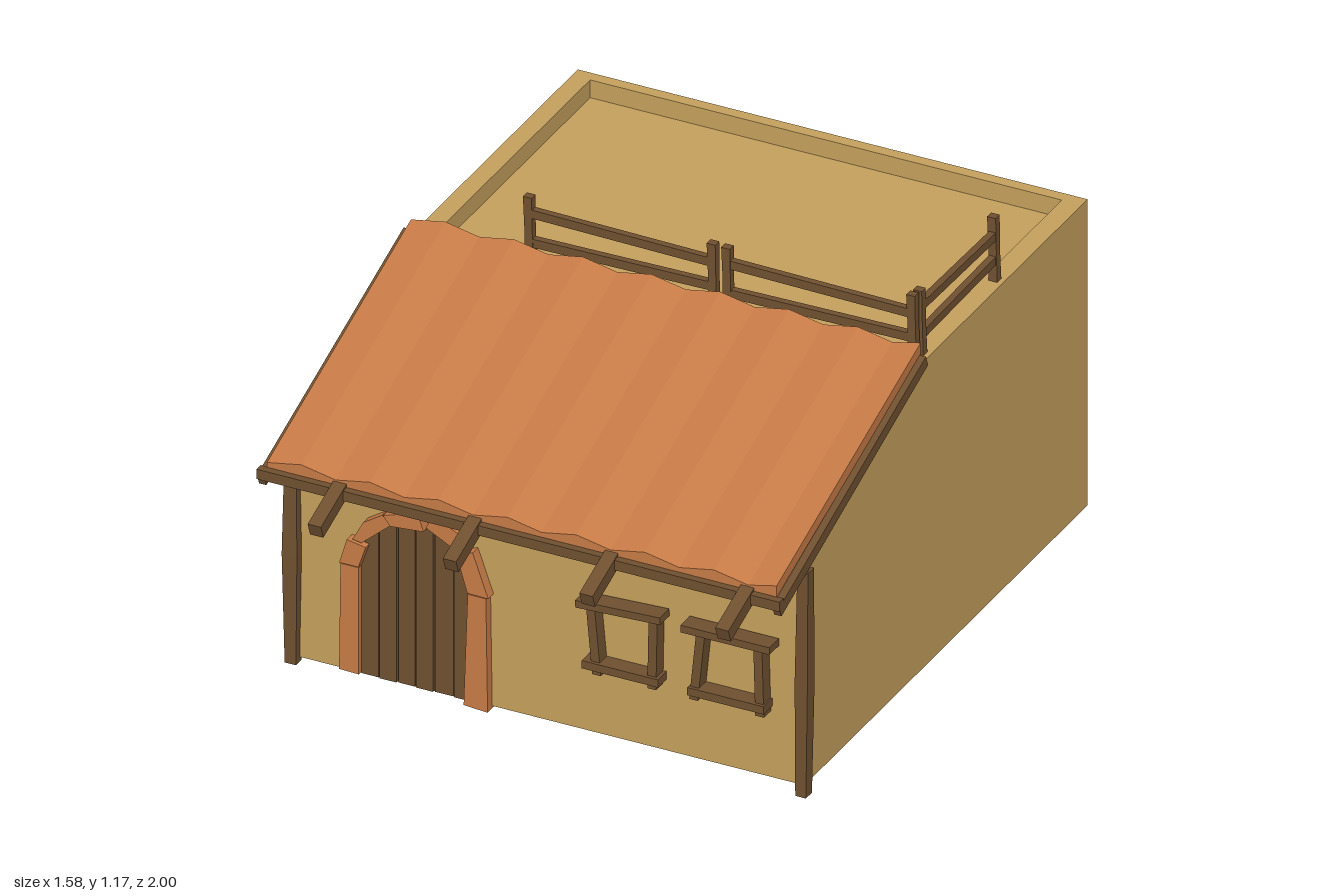
import * as THREE from 'three';

const mat = (color) => new THREE.MeshStandardMaterial({ color, flatShading: true, side: THREE.DoubleSide });
const PLASTER = mat(0xc49f5c), CLAY = mat(0xc67a46), WOOD = mat(0x6f5030);

const SLOPE = 0.365;                       // fall of the pitched roof per unit z
const L = -0.77, R = 0.765, BACK = -1, FRONT = 0.68, BASE = 0.025, TOP = 0.975;
const roofY = (z) => TOP - SLOPE * z;

export function createModel() {
  const house = new THREE.Group();
  house.name = 'house';

  const add = (name, geometry, material, parent = house) => {
    const mesh = new THREE.Mesh(geometry, material);
    mesh.name = name;
    parent.add(mesh);
    return mesh;
  };
  const group = (name) => {
    const g = new THREE.Group();
    g.name = name;
    house.add(g);
    return g;
  };

  // Flat convex panel from 3D corners
  const panel = (name, corners, material) => {
    const geo = new THREE.BufferGeometry();
    geo.setAttribute('position', new THREE.Float32BufferAttribute(corners.flat(), 3));
    const index = [];
    for (let i = 1; i < corners.length - 1; i++) index.push(0, i, i + 1);
    geo.setIndex(index);
    geo.computeVertexNormals();
    return add(name, geo, material);
  };

  // Straight bar between two points
  const bar = (name, a, b, w, h, material, parent) => {
    const p = new THREE.Vector3(...a), q = new THREE.Vector3(...b);
    const mesh = add(name, new THREE.BoxGeometry(w, h, p.distanceTo(q)), material, parent);
    mesh.position.copy(p).add(q).multiplyScalar(0.5);
    mesh.lookAt(q);
    return mesh;
  };

  // Upright post, rough hewn: thicker in the middle by bulge, top shifted by lean
  const post = (name, x, z, y0, y1, w, d, parent, bulge = 1, lean = 0) => {
    const geo = new THREE.BoxGeometry(w, y1 - y0, d, 1, 2, 1);
    const p = geo.attributes.position;
    for (let i = 0; i < p.count; i++) {
      const t = p.getY(i) / (y1 - y0);
      const s = Math.abs(t) < 0.1 ? bulge : 1;
      p.setX(i, p.getX(i) * s + lean * t);
      p.setZ(i, p.getZ(i) * s);
    }
    geo.computeVertexNormals();
    add(name, geo, WOOD, parent).position.set(x, (y0 + y1) / 2, z);
  };

  // Polygon in x, y pushed forward from z0 by depth
  const slab = (name, pts, z0, depth, material, parent) => {
    const shape = new THREE.Shape(pts.map(([x, y]) => new THREE.Vector2(x, y)));
    const geo = new THREE.ExtrudeGeometry(shape, { depth, bevelEnabled: false });
    geo.translate(0, 0, z0);
    return add(name, geo, material, parent);
  };

  // Shell: floor, front and side walls; the back stays open
  const eave = roofY(FRONT);
  panel('floor', [[L, BASE, FRONT], [R, BASE, FRONT], [R, BASE, BACK], [L, BASE, BACK]], CLAY);
  panel('frontWall', [[L, BASE, FRONT], [R, BASE, FRONT], [R, eave, FRONT], [L, eave, FRONT]], PLASTER);
  panel('leftWall', [[R, BASE, FRONT], [R, BASE, BACK], [R, TOP, BACK], [R, TOP, 0], [R, eave, FRONT]], PLASTER);
  panel('rightWallFront', [[L, BASE, 0], [L, BASE, FRONT], [L, eave, FRONT], [L, TOP, 0]], PLASTER);
  panel('rightWallBack', [[L, BASE, BACK], [L, BASE, 0], [L, TOP, 0], [L, TOP, BACK]], CLAY);

  // Flat roof sunk inside a rim
  const deck = TOP - 0.055;
  const outer = [[L, 0], [R, 0], [R, BACK], [L, BACK]];
  const inner = [[-0.715, -0.06], [0.705, -0.06], [0.705, -0.965], [-0.715, -0.965]];
  const at = ([x, z], y) => [x, y, z];
  panel('flatRoof', inner.map((c) => at(c, deck)), PLASTER);
  for (let i = 0; i < 4; i++) {
    const j = (i + 1) % 4;
    panel('roofRim', [at(outer[i], TOP), at(outer[j], TOP), at(inner[j], TOP), at(inner[i], TOP)], PLASTER);
    panel('rimInside', [at(inner[i], TOP), at(inner[j], TOP), at(inner[j], deck), at(inner[i], deck)], PLASTER);
  }

  // Pitched tile roof: zigzag section extruded forward, then sheared down the slope
  const upper = [];
  for (let i = 0; i <= 15; i++) {
    const x = Math.min(L + i * 0.1035, R);
    upper.push([x, i % 2 ? 1.038 : 1.018]);
  }
  const lower = upper.map(([x, y]) => [x, y - 0.036]).reverse();
  const tiles = slab('tileRoof', [...upper, ...lower], -0.01, 0.855, CLAY);
  const tp = tiles.geometry.attributes.position;
  for (let i = 0; i < tp.count; i++) tp.setY(i, tp.getY(i) - SLOPE * tp.getZ(i));
  tiles.geometry.computeVertexNormals();

  // Roof edge timbers
  const trim = group('roofTrim');
  for (const [x, lift] of [[L - 0.008, 0], [R + 0.008, 0.012]]) {
    bar('slopeTrim', [x, roofY(-0.01) + lift, -0.01], [x, roofY(0.86), 0.86], 0.022, 0.035, WOOD, trim);
  }
  bar('eaveBeam', [-0.79, 0.68, 0.855], [0.785, 0.68, 0.855], 0.025, 0.03, WOOD, trim);

  // Rafter ends poking out under the eave
  const rafters = group('rafters');
  for (const x of [-0.55, -0.143, 0.268, 0.677]) {
    bar('rafter', [x, 0.772, 0.6], [x, 0.63, 0.99], 0.04, 0.042, WOOD, rafters);
  }

  // Corner posts
  post('cornerPostRight', -0.772, 0.685, 0.01, 0.69, 0.034, 0.034, house, 1.35);
  post('cornerPostLeft', 0.768, 0.685, 0, 0.7, 0.032, 0.036, house, 1.2, 0.006);

  // Door: planks cut to an arch
  const door = group('door');
  const edges = [-0.565, -0.51, -0.455, -0.4, -0.345, -0.285, -0.23];
  const archY = (x) => 0.38 + 0.155 * Math.sqrt(Math.max(0, 1 - ((x + 0.397) / 0.175) ** 2));
  for (let i = 0; i < 6; i++) {
    const a = edges[i] + 0.002, b = edges[i + 1] - 0.002;
    slab('doorPlank', [[a, 0.03], [b, 0.03], [b, archY(b)], [a, archY(a)]], 0.675, i % 2 ? 0.018 : 0.015, WOOD, door);
  }

  // Door surround of uneven blocks
  const surround = group('doorSurround');
  const blocks = [
    [[-0.622, 0.037], [-0.563, 0.035], [-0.563, 0.366], [-0.618, 0.366]],
    [[-0.62, 0.37], [-0.562, 0.37], [-0.54, 0.437], [-0.597, 0.447]],
    [[-0.582, 0.45], [-0.555, 0.445], [-0.467, 0.522], [-0.492, 0.548], [-0.55, 0.51]],
    [[-0.488, 0.55], [-0.467, 0.522], [-0.366, 0.531], [-0.383, 0.585]],
    [[-0.361, 0.543], [-0.264, 0.492], [-0.238, 0.538], [-0.34, 0.586]],
    [[-0.268, 0.488], [-0.234, 0.375], [-0.171, 0.374], [-0.218, 0.505]],
    [[-0.247, 0.023], [-0.175, 0.018], [-0.18, 0.37], [-0.235, 0.37]],
  ];
  blocks.forEach((pts, i) => slab('surroundBlock', pts, 0.67, 0.038 + 0.004 * (i % 2), CLAY, surround));

  // Window frames: lintel, sill and two jambs
  const frames = [
    { x0: 0.105, x1: 0.36, s0: 0.12, s1: 0.35, j: [[0.15, 0.02], [0.328, -0.004]], tilt: 0.006 },
    { x0: 0.422, x1: 0.69, s0: 0.438, s1: 0.668, j: [[0.463, 0.022], [0.648, -0.006]], tilt: 0 },
  ];
  for (const f of frames) {
    const win = group('windowFrame');
    bar('lintel', [f.x0, 0.452 - f.tilt, 0.712], [f.x1, 0.452 + f.tilt, 0.712], 0.056, 0.022, WOOD, win);
    bar('sill', [f.s0, 0.258, 0.706], [f.s1, 0.258, 0.706], 0.052, 0.024, WOOD, win);
    for (const [x, lean] of f.j) post('jamb', x, 0.7, 0.23, 0.45, 0.026, 0.044, win, 1, -lean * (f.tilt ? 1 : -1));
  }

  // Railings: two spans along the ridge, one running back
  const railing = group('railing');
  const span = (a, b) => {
    for (const [x, z] of [a, b]) post('railPost', x, z, 0.972, 1.172, 0.026, 0.024, railing, 0.9, -0.005);
    for (const [y, dy] of [[1.118, 0.004], [1.036, -0.004]]) {
      bar('rail', [a[0], y + dy, a[1]], [b[0], y - dy, b[1]], 0.02, 0.026, WOOD, railing);
    }
  };
  span([-0.425, -0.037], [0.128, -0.037]);
  span([0.173, -0.035], [0.73, -0.035]);
  span([0.735, -0.066], [0.735, -0.505]);

  return house;
}
